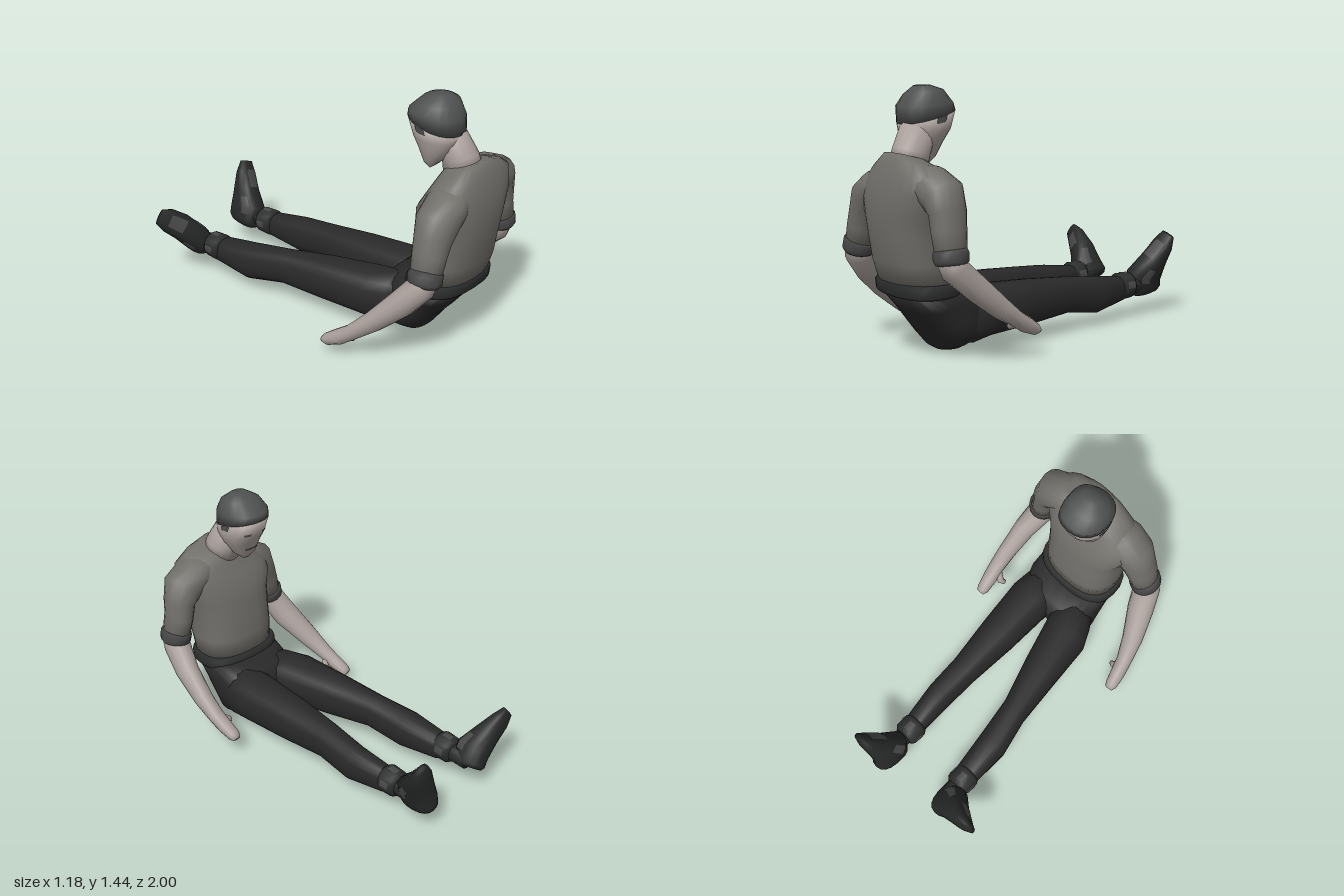
import * as THREE from 'three';

const V = (x, y, z) => new THREE.Vector3(x, y, z);
const mat = (name, color) => {
  const m = new THREE.MeshStandardMaterial({ color });
  m.name = name;
  return m;
};

// A ring is a centre with two half axes. Side ring: front and back [z, y], half width, centre x, roll.
const sideRing = ([f, b, hw, cx, roll = 0]) => ({
  c: V(cx, (f[1] + b[1]) / 2, (f[0] + b[0]) / 2),
  a: V(0, (b[1] - f[1]) / 2, (b[0] - f[0]) / 2),
  b: V(hw, roll * hw, 0),
});

// Rings square to a path of [x, y, z, depth radius, width radius]
function pathRings(points) {
  const ps = points.map((p) => V(p[0], p[1], p[2]));
  return points.map((p, i) => {
    const t = ps[Math.min(i + 1, ps.length - 1)].clone().sub(ps[Math.max(i - 1, 0)]).normalize();
    const a = V(0, 0, 1).addScaledVector(t, -t.z).normalize();
    const b = t.clone().cross(a);
    return { c: ps[i], a: a.multiplyScalar(p[3]), b: b.multiplyScalar(p[4]) };
  });
}

// Upright rings along z: [z, top, bottom, x0, x1]
const zRing = ([z, top, bot, x0, x1]) => ({
  c: V((x0 + x1) / 2, (top + bot) / 2, z),
  a: V((x1 - x0) / 2, 0, 0),
  b: V(0, (top - bot) / 2, 0),
});

const bend = (v, e) => Math.sign(v) * Math.abs(v) ** e;
const ringPoint = (r, t, e, s = 1) => r.c.clone()
  .addScaledVector(r.a, s * bend(Math.cos(t), e))
  .addScaledVector(r.b, s * bend(Math.sin(t), e));

const isFlipped = (rings) => {
  const up = rings[rings.length - 1].c.clone().sub(rings[0].c);
  return rings[0].a.clone().cross(rings[0].b).dot(up) < 0;
};

function build(pos, faces, flip) {
  const g = new THREE.BufferGeometry();
  g.setAttribute('position', new THREE.Float32BufferAttribute(pos.flatMap((p) => [p.x, p.y, p.z]), 3));
  g.setIndex(faces.flatMap(([a, b, c]) => (flip ? [a, c, b] : [a, b, c])));
  g.computeVertexNormals();
  return g;
}

// Closed skin over rings
function loft(rings, n = 16, e = 1) {
  const pos = [], faces = [], last = (rings.length - 1) * n;
  for (const r of rings) for (let j = 0; j < n; j++) pos.push(ringPoint(r, (j / n) * Math.PI * 2, e));
  for (let i = 0; i < rings.length - 1; i++) {
    for (let j = 0; j < n; j++) {
      const a = i * n + j, b = i * n + ((j + 1) % n);
      faces.push([a, b, b + n], [a, b + n, a + n]);
    }
  }
  const k = pos.length;
  pos.push(rings[0].c.clone(), rings[rings.length - 1].c.clone());
  for (let j = 0; j < n; j++) {
    const m = (j + 1) % n;
    faces.push([k, m, j], [k + 1, last + j, last + m]);
  }
  return build(pos, faces, isFlipped(rings));
}

// Thin painted patch just above a loft
function patch(rings, v0, v1, t0, t1, e = 1) {
  const pos = [], faces = [], n = 5;
  for (let i = 0; i <= n; i++) {
    const v = v0 + ((v1 - v0) * i) / n, k = Math.min(Math.floor(v), rings.length - 2);
    const p = rings[k], q = rings[k + 1], r = {};
    for (const key of ['c', 'a', 'b']) r[key] = p[key].clone().lerp(q[key], v - k);
    for (let j = 0; j <= n; j++) pos.push(ringPoint(r, t0 + ((t1 - t0) * j) / n, e, 1.025));
  }
  for (let i = 0; i < n; i++) {
    for (let j = 0; j < n; j++) {
      const a = i * (n + 1) + j;
      faces.push([a, a + 1, a + n + 2], [a, a + n + 2, a + n + 1]);
    }
  }
  return build(pos, faces, isFlipped(rings));
}

export function createModel() {
  const skin = mat('skin', 0xa99f9b), hair = mat('hair grey', 0x505151);
  const shirt = mat('shirt grey', 0x716f6a), cuff = mat('cuff grey', 0x484848);
  const trousers = mat('trousers black', 0x292929), shoe = mat('shoe black', 0x272828);
  const belt = mat('belt dark', 0x2d2e2e);
  const model = new THREE.Group();
  model.name = 'seatedFigure';
  const add = (name, geo, m, parent = model) => {
    const mesh = new THREE.Mesh(geo, m);
    mesh.name = name;
    parent.add(mesh);
  };
  const sub = (name) => {
    const g = new THREE.Group();
    g.name = name;
    model.add(g);
    return g;
  };

  // Head: face below the hairline, hair above it
  const head = sub('head');
  const headRings = [
    [[.655, 1.02], [.69, 1.05], .035, .05], [[.62, 1.06], [.74, 1.09], .078, .055],
    [[.58, 1.15], [.79, 1.15], .115, .065], [[.54, 1.21], [.815, 1.2], .13, .07],
    [[.505, 1.315], [.822, 1.24], .138, .066], [[.515, 1.35], [.822, 1.33], .138, .06],
    [[.58, 1.415], [.78, 1.395], .112, .065, .08], [[.65, 1.442], [.73, 1.438], .05, .07],
  ].map(sideRing);
  add('face', loft(headRings.slice(0, 5), 20, .9), skin, head);
  add('hair', loft(headRings.slice(4), 20, .9), hair, head);
  for (const s of [1, -1]) {
    const t = Math.PI + s * .42;
    add('eye', patch(headRings, 3.15, 3.3, t - .17, t + .17, .9), hair, head);
    const u = Math.PI + s * 1.5;
    add('sideburn', patch(headRings, 3.55, 4, u - .16, u + .16, .9), hair, head);
  }
  add('mouth', patch(headRings, 1.4, 1.6, Math.PI - .4, Math.PI + .4, .9), hair, head);
  add('neck', loft([
    [[.71, 1.0], [.91, 1.06], .11, .115, .05], [[.69, 1.07], [.89, 1.13], .095, .115],
    [[.64, 1.17], [.82, 1.25], .095, .09],
  ].map(sideRing)), skin);

  // Torso, belt and seat
  add('shirtBody', loft([
    [[.59, .4], [.925, .41], .24, .105], [[.585, .53], [.965, .53], .245, .105],
    [[.6, .64], [.985, .66], .25, .105], [[.615, .77], [1, .78], .265, .11, .05],
    [[.64, .87], [.995, .88], .305, .115, .1], [[.68, .94], [.98, .97], .3, .12, .14],
    [[.71, 1], [.955, 1.05], .215, .12, .12], [[.735, 1.05], [.925, 1.105], .11, .115, .03],
  ].map(sideRing), 24, .8), shirt);
  add('belt', loft([
    [[.575, .35], [.915, .345], .25, .105], [[.565, .365], [.93, .36], .262, .105],
    [[.57, .405], [.935, .41], .262, .105], [[.585, .42], [.925, .425], .25, .105],
  ].map(sideRing), 24, .75), belt);
  add('seat', loft([
    [[.57, .385], [.92, .37], .248, .105], [[.45, .36], [.82, .25], .25, .105],
    [[.4, .25], [.74, .15], .248, .102], [[.42, .12], [.69, .095], .238, .095],
    [[.46, .045], [.65, .03], .13, .085], [[.49, .003], [.62, .01], .06, .08],
  ].map(sideRing), 24, .75), trousers);

  // Arms: sleeve, rolled cuff, forearm with hand, thumb
  const arms = {
    leftArm: {
      sleeve: [[.2, 1, .83, .09, .06], [.32, .955, .82, .125, .1], [.42, .9, .805, .12, .115],
        [.455, .82, .8, .105, .085], [.465, .73, .8, .1, .077], [.49, .61, .805, .088, .078]],
      cuff: [[.487, .635, .805, .088, .08], [.49, .62, .805, .097, .09], [.496, .575, .81, .095, .088], [.498, .56, .81, .08, .076]],
      forearm: [[.495, .6, .82, .07, .075], [.5, .53, .79, .075, .08], [.525, .42, .67, .072, .068], [.53, .3, .52, .06, .055],
        [.525, .23, .415, .045, .048], [.515, .185, .345, .045, .045], [.505, .15, .275, .034, .038], [.505, .14, .25, .016, .026]],
      thumb: [[.5, .21, .41, .024, .026], [.455, .18, .385, .022, .024], [.435, .165, .4, .015, .015]],
    },
    rightArm: {
      sleeve: [[.03, .97, .85, .09, .06], [-.08, .905, .855, .125, .1], [-.165, .835, .86, .12, .12],
        [-.205, .755, .865, .105, .1], [-.235, .68, .87, .097, .09], [-.27, .57, .875, .088, .08]],
      cuff: [[-.262, .6, .873, .088, .084], [-.268, .585, .875, .097, .094], [-.28, .54, .88, .095, .09], [-.284, .525, .88, .08, .078]],
      forearm: [[-.27, .58, .885, .07, .075], [-.3, .51, .87, .078, .083], [-.345, .4, .78, .075, .083], [-.415, .27, .65, .057, .066],
        [-.46, .175, .535, .044, .048], [-.48, .125, .46, .045, .044], [-.496, .09, .39, .034, .038], [-.5, .08, .365, .016, .025]],
      thumb: [[-.455, .15, .51, .024, .026], [-.42, .11, .49, .022, .024], [-.4, .09, .5, .015, .015]],
    },
  };
  for (const [name, p] of Object.entries(arms)) {
    const g = sub(name);
    add('sleeve', loft(pathRings(p.sleeve)), shirt, g);
    add('sleeveCuff', loft(pathRings(p.cuff)), cuff, g);
    add('forearmAndHand', loft(pathRings(p.forearm), 12), skin, g);
    add('thumb', loft(pathRings(p.thumb), 8), skin, g);
  }

  // Legs: trouser leg, ankle cuff, shoe with worn patches
  const legs = {
    leftLeg: {
      leg: [[.6, .33, .12, .13, .32], [.52, .37, .055, .09, .35], [.4, .365, .08, .08, .358], [.1, .348, .09, .085, .32],
        [-.2, .32, .11, .1, .275], [-.42, .295, .075, .108, .268], [-.66, .26, .115, .1, .228]],
      cuffX: .157,
      shoe: [[.135, .14, -.885, .1, .06], [.14, .17, -.88, .115, .075], [.15, .24, -.87, .12, .078],
        [.185, .33, -.915, .075, .075], [.225, .43, -.955, .045, .068], [.25, .495, -.975, .02, .045]],
    },
    rightLeg: {
      leg: [[.6, .33, .12, -.13, .05], [.52, .37, .055, -.18, .075], [.4, .365, .08, -.24, .058], [.1, .348, .09, -.268, -.035],
        [-.18, .32, .11, -.296, -.13], [-.41, .295, .075, -.35, -.165], [-.66, .26, .115, -.35, -.205]],
      cuffX: -.285,
      shoe: [[-.28, .155, -.85, .085, .06], [-.295, .175, -.845, .1, .075], [-.345, .235, -.835, .1, .08],
        [-.42, .32, -.865, .068, .08], [-.5, .385, -.885, .042, .072], [-.555, .425, -.89, .02, .05]],
    },
  };
  for (const [name, p] of Object.entries(legs)) {
    const g = sub(name), x = p.cuffX;
    add('trouserLeg', loft(p.leg.map(zRing), 16, .85), trousers, g);
    const cuffRings = [
      [-.63, .265, .125, x - .065, x + .065], [-.65, .28, .115, x - .08, x + .08],
      [-.73, .275, .12, x - .078, x + .078], [-.75, .26, .135, x - .06, x + .06],
    ].map(zRing);
    add('ankleCuff', loft(cuffRings), belt, g);
    for (const t of [.2, 1.6, 3.1]) add('cuffPatch', patch(cuffRings, 1.2, 1.9, t - .25, t + .25), cuff, g);
    add('ankle', loft([
      [-.72, .25, .14, x - .055, x + .055], [-.85, .25, .14, x - .055, x + .055],
    ].map(zRing), 12), shoe, g);
    const rings = pathRings(p.shoe);
    add('shoe', loft(rings, 16, .8), shoe, g);
    add('toePatch', patch(rings, 3.1, 4.2, -.4, .5, .8), cuff, g);
    for (const s of [1, -1]) add('sidePatch', patch(rings, 1.6, 2.6, s * 1.2 - .25, s * 1.2 + .25, .8), cuff, g);
  }
  return model;
}
